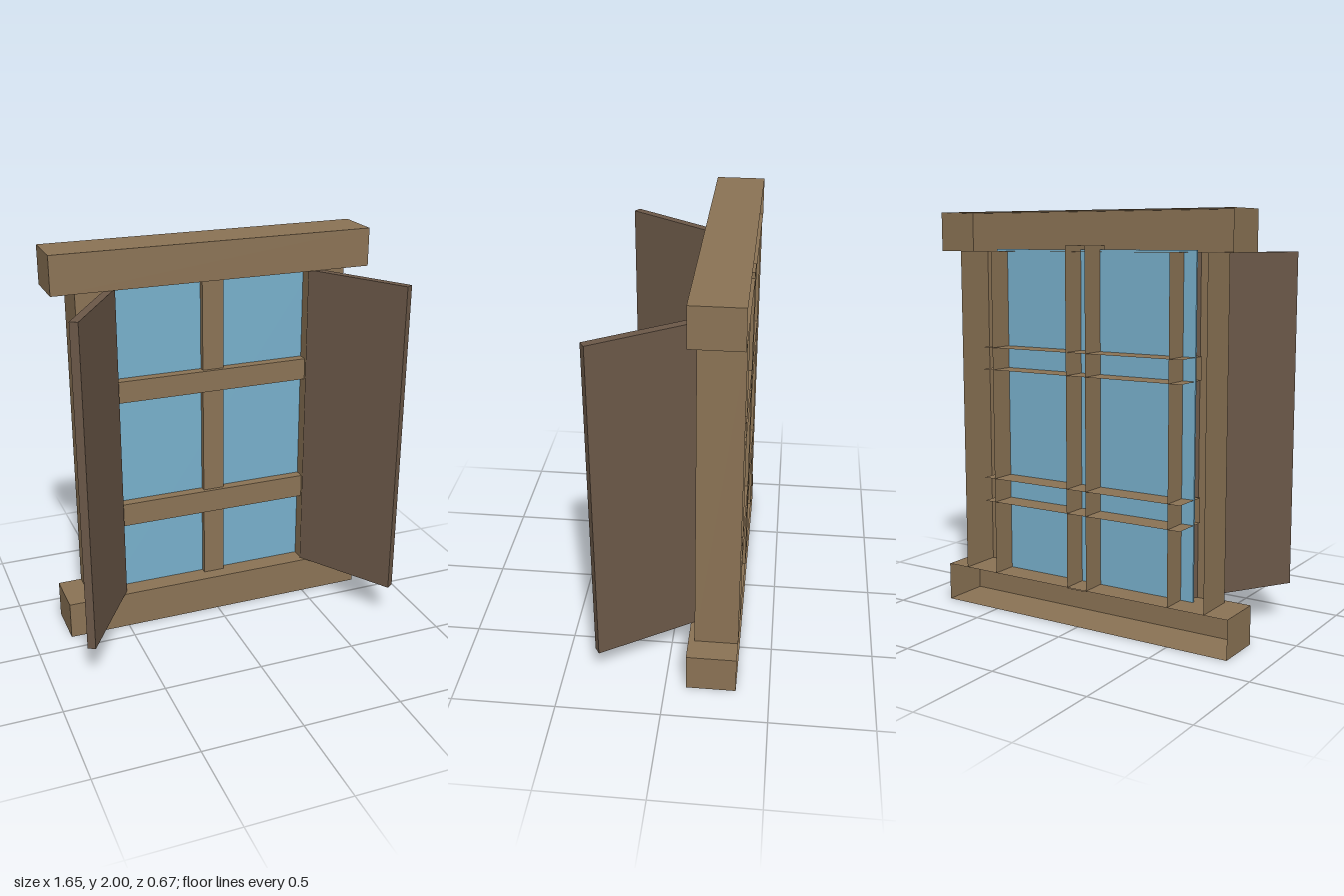
import * as THREE from 'three';

const wood = new THREE.MeshStandardMaterial({ color: 0x8b7355, side: THREE.DoubleSide });
const shutterWood = new THREE.MeshStandardMaterial({ color: 0x6b5848 });
const glass = new THREE.MeshStandardMaterial({ color: 0x78b0cc });

const BACK = -0.34;
// face numbers of a box: +x, -x, +y, -y, +z, -z
const NO_BACK = [0, 1, 2, 3, 4];

// Box given by its limits, keeping only the listed faces
function limitsBox(name, [x0, x1], [y0, y1], [z0, z1], material, faces) {
  const geometry = new THREE.BoxGeometry(x1 - x0, y1 - y0, z1 - z0);
  if (faces) {
    const index = Array.from(geometry.index.array);
    geometry.setIndex(faces.flatMap((f) => index.slice(f * 6, f * 6 + 6)));
    geometry.clearGroups();
  }
  geometry.translate((x0 + x1) / 2, (y0 + y1) / 2, (z0 + z1) / 2);
  const mesh = new THREE.Mesh(geometry, material);
  mesh.name = name;
  return mesh;
}

export function createModel() {
  const model = new THREE.Group();
  model.name = 'shutteredWindow';

  // Wide beams above and below, hollow and open at the back
  model.add(limitsBox('sill', [-0.81, 0.81], [0, 0.19], [BACK, -0.1], wood, NO_BACK));
  model.add(limitsBox('lintel', [-0.81, 0.81], [1.81, 2], [BACK, -0.1], wood, NO_BACK));

  // Glass sheet running through the hollow frame
  model.add(limitsBox('glassPane', [-0.565, 0.565], [0.18, 1.82], [-0.21, -0.2], glass));

  // Glazing bars: one upright, two crosspieces, all open at the back
  model.add(limitsBox('mullion', [-0.05, 0.06], [0.185, 1.84], [BACK, -0.17], wood, NO_BACK));
  for (const [y0, y1] of [[0.56, 0.68], [1.23, 1.34]]) {
    model.add(limitsBox('crossBar', [-0.565, 0.565], [y0, y1], [BACK, -0.15], wood, [2, 3, 4]));
  }

  // Side posts and the half-open shutters
  for (const side of [-1, 1]) {
    const x = [0.5 * side, 0.69 * side].sort((a, b) => a - b);
    model.add(limitsBox(side > 0 ? 'leftPost' : 'rightPost', x, [0.19, 1.81], [BACK, -0.13], wood, [0, 1, 4]));

    const shutter = new THREE.Mesh(new THREE.BoxGeometry(0.041, 1.62, 0.55), shutterWood);
    shutter.name = side > 0 ? 'leftShutter' : 'rightShutter';
    shutter.position.set(0.661 * side, 1, 0.091);
    shutter.rotation.y = 0.563 * side;
    model.add(shutter);
  }
  return model;
}
